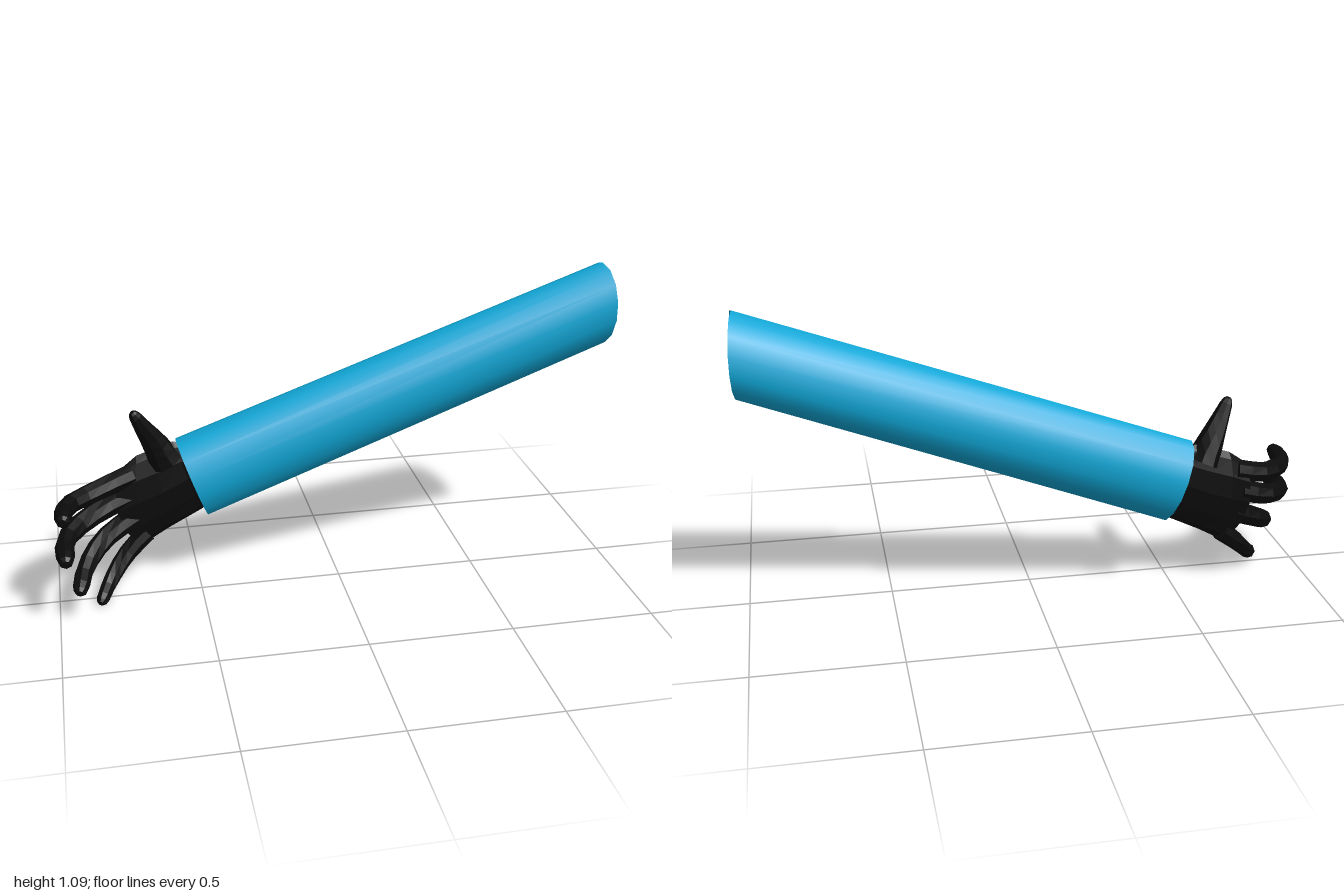
import * as THREE from 'three';

const V = (x, y, z) => new THREE.Vector3(x, y, z);

// Ring of n points around c, turning from u towards v
function ring(c, u, v, n) {
  return Array.from({ length: n }, (_, j) => {
    const a = (j / n) * Math.PI * 2;
    return c.clone().addScaledVector(u, Math.cos(a)).addScaledVector(v, Math.sin(a));
  });
}

// Skin stretched over successive rings, optionally closed at the ends
function loft(rings, capStart = false, capEnd = false) {
  const n = rings[0].length, index = [];
  const points = rings.flat();
  const at = (i, j) => i * n + (j % n);
  for (let i = 0; i < rings.length - 1; i++) {
    for (let j = 0; j < n; j++) {
      const a = at(i, j), b = at(i, j + 1), c = at(i + 1, j), d = at(i + 1, j + 1);
      index.push(a, b, c, b, d, c);
    }
  }
  const last = rings.length - 1;
  for (let j = 1; j < n - 1; j++) {
    if (capStart) index.push(at(0, 0), at(0, j + 1), at(0, j));
    if (capEnd) index.push(at(last, 0), at(last, j), at(last, j + 1));
  }
  const geo = new THREE.BufferGeometry().setFromPoints(points);
  geo.setIndex(index);
  geo.computeVertexNormals();
  return geo;
}

// Rounded, tapering finger along a curve
function fingerGeometry(path, r0, r1) {
  const curve = new THREE.CatmullRomCurve3(path.map((p) => V(...p)));
  const steps = [0, 0.15, 0.3, 0.45, 0.6, 0.75, 0.9, 0.97, 1];
  const rings = steps.map((t) => {
    const d = curve.getTangentAt(t);
    const u = d.clone().cross(V(0, 1, 0)).normalize();
    const v = d.clone().cross(u);
    const round = t > 0.99 ? 0.45 : t > 0.95 ? 0.8 : 1;
    const r = THREE.MathUtils.lerp(r0, r1, t) * round;
    return ring(curve.getPointAt(t), u.multiplyScalar(r), v.multiplyScalar(r), 8);
  });
  return loft(rings, true, true);
}

export function createModel() {
  const model = new THREE.Group();
  model.name = 'sleevedArm';
  const add = (name, geometry, material, parent = model) => {
    const mesh = new THREE.Mesh(geometry, material);
    mesh.name = name;
    parent.add(mesh);
  };
  const fabric = new THREE.MeshStandardMaterial({ color: 0x10a8d8, side: THREE.DoubleSide });
  const skin = new THREE.MeshStandardMaterial({ color: 0xbabace, side: THREE.DoubleSide, flatShading: true });
  const glove = new THREE.MeshStandardMaterial({ color: 0x0b0b0b, flatShading: true });

  // Sleeve: open oval tube, square cut at the cuff, upright cut at the shoulder
  const cuff = ring(V(-0.51, 0.405, -0.098), V(-0.052, 0.145, 0), V(0, 0, 0.113), 14);
  const shoulder = ring(V(0.978, 0.955, -0.095), V(0, 0.147, 0), V(0, 0, 0.126), 14);
  shoulder.forEach((p) => { p.x += 0.13 * Math.abs(p.z + 0.095); });
  add('sleeve', loft([cuff, shoulder]), fabric);

  // Arm: open faceted tube inside the sleeve, narrowing to the wrist
  add('arm', loft([
    ring(V(-0.44, 0.43, -0.105), V(-0.035, 0.1, 0), V(0, 0, 0.045), 10),
    ring(V(0.2, 0.668, -0.1), V(-0.035, 0.1, 0), V(0, 0, 0.075), 10),
    ring(V(0.945, 0.945, -0.1), V(0, 0.12, 0), V(0, 0, 0.083), 10),
  ]), skin);

  // Palm: flat sections from upper edge to lower edge, bowed at the knuckles
  const hand = new THREE.Group();
  hand.name = 'hand';
  model.add(hand);
  const sections = [
    // top x, y, bottom x, y, z, half thickness, bow
    [-0.50, 0.52, -0.42, 0.31, -0.110, 0.045, 0],
    [-0.57, 0.54, -0.48, 0.27, -0.110, 0.034, 0],
    [-0.64, 0.52, -0.60, 0.21, -0.105, 0.040, 0],
    [-0.70, 0.50, -0.67, 0.17, -0.102, 0.042, 0.02],
    [-0.755, 0.46, -0.705, 0.16, -0.092, 0.036, 0.05],
  ];
  add('palm', loft(sections.map(([tx, ty, bx, by, z, t, bow]) => {
    const half = V((tx - bx) / 2, (ty - by) / 2, 0);
    const r = ring(V((tx + bx) / 2, (ty + by) / 2, z), V(0, 0, t), half, 12);
    r.forEach((p, j) => { p.x -= bow * Math.cos((j / 12) * Math.PI * 2) ** 2; });
    return r;
  }), true, true), glove, hand);

  // Fingers curl forward, the thumb points up
  const fingers = {
    indexFinger: [[[-0.72, 0.43, -0.1], [-0.85, 0.395, -0.06], [-0.95, 0.388, 0.03], [-0.965, 0.392, 0.165]], 0.04, 0.029],
    middleFinger: [[[-0.74, 0.35, -0.1], [-0.87, 0.305, -0.055], [-0.957, 0.28, 0.05], [-0.965, 0.265, 0.217]], 0.042, 0.03],
    ringFinger: [[[-0.72, 0.27, -0.1], [-0.83, 0.215, -0.05], [-0.9, 0.16, 0.04], [-0.928, 0.122, 0.163]], 0.04, 0.028],
    littleFinger: [[[-0.68, 0.2, -0.105], [-0.76, 0.13, -0.075], [-0.82, 0.063, -0.02], [-0.86, 0.025, 0.07]], 0.036, 0.023],
    thumb: [[[-0.6, 0.47, -0.105], [-0.635, 0.545, -0.09], [-0.675, 0.62, -0.065], [-0.708, 0.685, -0.045]], 0.06, 0.018],
  };
  for (const [name, [path, r0, r1]] of Object.entries(fingers)) {
    add(name, fingerGeometry(path, r0, r1), glove, hand);
  }
  return model;
}
